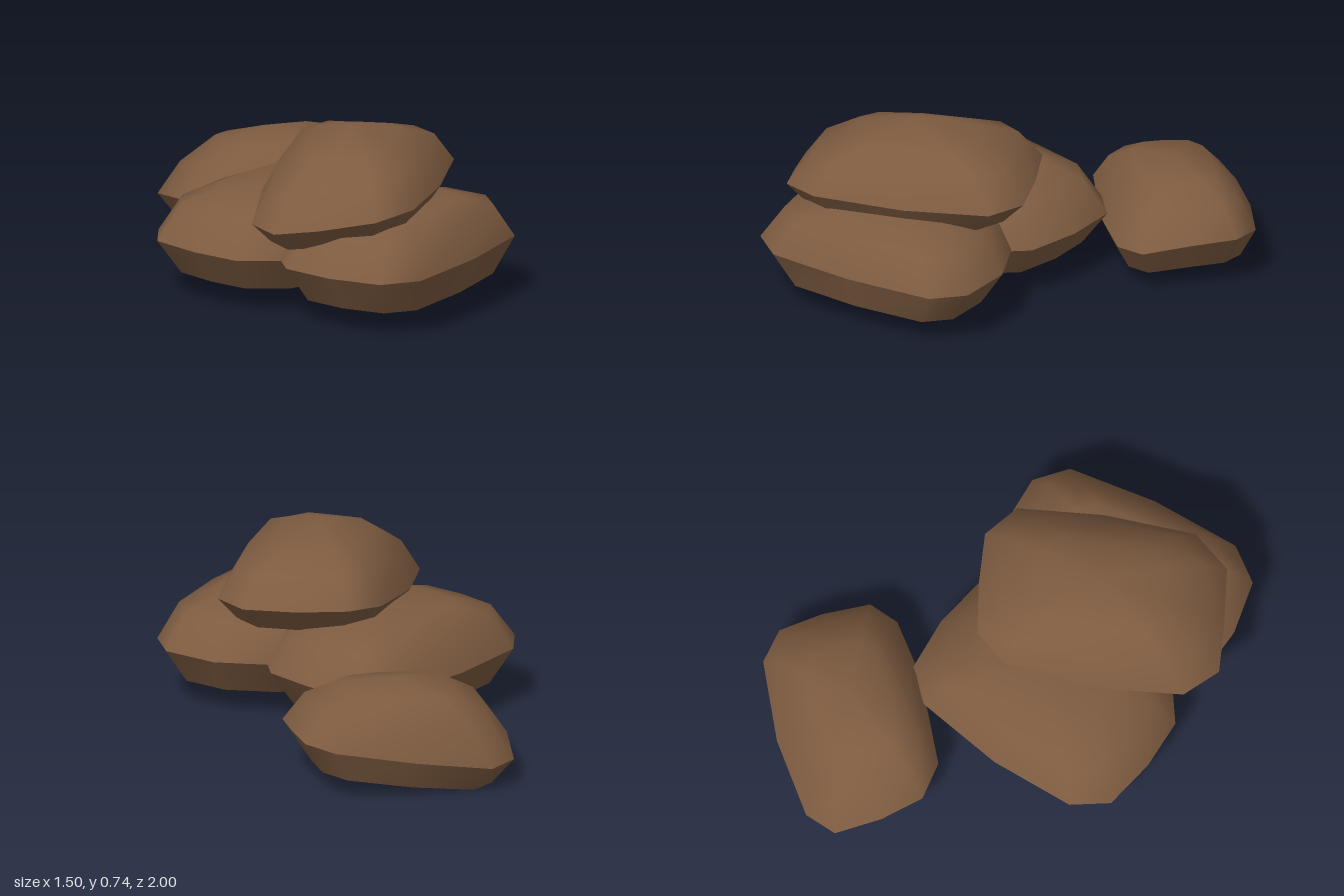
import * as THREE from 'three';

// Every stone shares one profile: rim, belt (twice, for a sharp edge), shoulder, crown
const ringScale = [0.81, 1, 1, 0.81, 0.51];
const ringBend = [1, 1, 1, 1, 0.5];

// Lofts a plan outline (clockwise from above) into a dome, open underneath.
// heights: rim, belt, shoulder, crown, apex; bend: slope along x, slope along z, curve along z.
function stoneGeometry(outline, [cx, cz], [rim, belt, shoulder, crown, apex], [slopeX, slopeZ, curveZ]) {
  const positions = [], index = [], n = outline.length, rings = ringScale.length;
  [rim, belt, belt, shoulder, crown].forEach((height, r) => {
    for (const [x, z] of outline) {
      const dx = (x - cx) * ringScale[r], dz = (z - cz) * ringScale[r];
      const y = height + (dx * slopeX + dz * slopeZ + dz * dz * curveZ) * ringBend[r];
      positions.push(cx + dx, Math.max(0, y), cz + dz);
    }
  });
  const top = rings * n;
  positions.push(cx, apex, cz);
  for (let r = 0; r < rings; r++) {
    if (r === 1) continue; // the two belt rings coincide
    for (let i = 0; i < n; i++) {
      const a = r * n + i, b = r * n + (i + 1) % n;
      if (r === rings - 1) index.push(a, top, b);
      else index.push(a, a + n, b, b, a + n, b + n);
    }
  }
  const geometry = new THREE.BufferGeometry();
  geometry.setAttribute('position', new THREE.Float32BufferAttribute(positions, 3));
  geometry.setIndex(index);
  geometry.computeVertexNormals();
  return geometry;
}

export function createModel() {
  const group = new THREE.Group();
  group.name = 'stonePile';
  const brown = new THREE.MeshStandardMaterial({ color: 0x7d5b40, side: THREE.DoubleSide });
  brown.name = 'brown stone';

  const addStone = (name, outline, centre, heights, bend) => {
    const mesh = new THREE.Mesh(stoneGeometry(outline, centre, heights, bend), brown);
    mesh.name = name;
    group.add(mesh);
  };

  // Lower stones
  addStone('frontStone',
    [[-0.65, 0.5], [-0.53, 0.31], [-0.2, 0.21], [0.2, 0.2], [0.38, 0.42], [0.43, 0.65], [0.35, 0.79],
      [0, 0.92], [-0.37, 1], [-0.53, 0.93], [-0.62, 0.72]],
    [-0.11, 0.6], [0.095, 0.245, 0.39, 0.432, 0.452], [0, 0, 0]);
  addStone('middleStone',
    [[-0.75, -0.16], [-0.63, -0.28], [-0.28, -0.35], [0.1, -0.36], [0.24, -0.27], [0.29, -0.05], [0.29, 0.18],
      [0.12, 0.41], [-0.2, 0.46], [-0.55, 0.42], [-0.71, 0.27], [-0.75, 0.06]],
    [-0.23, 0.04], [0.095, 0.24, 0.385, 0.435, 0.455], [0, 0, 0]);

  // Stone leaning down towards the back
  addStone('backStone',
    [[-0.16, -0.65], [-0.09, -0.82], [0.02, -0.98], [0.16, -1], [0.45, -0.86], [0.71, -0.66], [0.75, -0.52],
      [0.67, -0.35], [0.56, -0.18], [0.43, -0.16], [0.2, -0.27], [-0.11, -0.5]],
    [0.3, -0.58], [0.075, 0.212, 0.325, 0.39, 0.428], [0.03, 0.1, -0.35]);

  // Stone resting on the two lower ones, its long sides arched up
  addStone('topStone',
    [[-0.73, 0.51], [-0.69, 0.34], [-0.42, 0.11], [-0.08, -0.08], [0.08, -0.06], [0.22, 0.1], [0.35, 0.28],
      [0.33, 0.45], [0.05, 0.67], [-0.28, 0.86], [-0.47, 0.84], [-0.62, 0.66]],
    [-0.19, 0.39], [0.355, 0.452, 0.587, 0.665, 0.742], [0.09, 0.01, 0.22]);

  return group;
}
